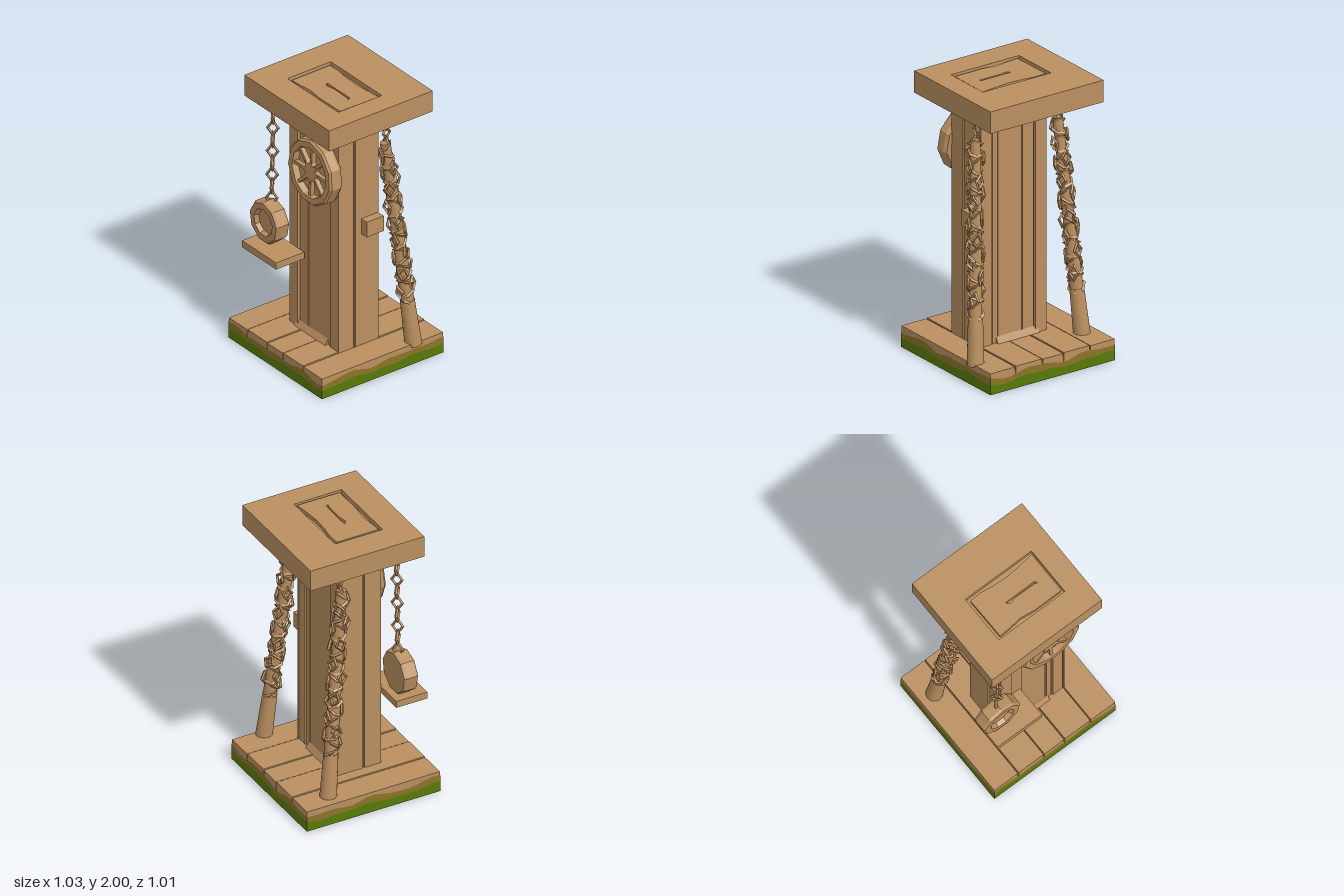
import * as THREE from 'three';

const wood = new THREE.MeshStandardMaterial({ color: 0xba8f60 });
wood.name = 'wood';
const moss = new THREE.MeshStandardMaterial({ color: 0x587a08, side: THREE.DoubleSide });
moss.name = 'moss';
const dryMoss = new THREE.MeshStandardMaterial({ color: 0x8a7428, side: THREE.DoubleSide });
dryMoss.name = 'dryMoss';

function add(parent, name, geometry, material = wood) {
  const mesh = new THREE.Mesh(geometry, material);
  mesh.name = name;
  parent.add(mesh);
  return mesh;
}

// Box given by its limits on each axis
function block(parent, name, x0, x1, y0, y1, z0, z1, material = wood) {
  const mesh = add(parent, name, new THREE.BoxGeometry(x1 - x0, y1 - y0, z1 - z0), material);
  mesh.position.set((x0 + x1) / 2, (y0 + y1) / 2, (z0 + z1) / 2);
  return mesh;
}

function faceted(geometry) {
  const g = geometry.index ? geometry.toNonIndexed() : geometry;
  g.computeVertexNormals();
  return g;
}

function polygon(points, PathType = THREE.Shape) {
  return new PathType(points.map(([x, y]) => new THREE.Vector2(x, y)));
}

function rectangle(x0, x1, y0, y1, PathType) {
  return polygon([[x0, y0], [x1, y0], [x1, y1], [x0, y1]], PathType);
}

// Slab lying flat: the shape is drawn in x and -z
function slab(parent, name, shape, y, height) {
  const mesh = add(parent, name, new THREE.ExtrudeGeometry(shape, { depth: height, bevelEnabled: false }));
  mesh.rotation.x = -Math.PI / 2;
  mesh.position.y = y;
  return mesh;
}

// Faceted round part turned to face the front
function turned(parent, name, profile, sides) {
  const points = profile.map(([r, y]) => new THREE.Vector2(r, y));
  const mesh = add(parent, name, faceted(new THREE.LatheGeometry(points, sides, Math.PI / sides)));
  mesh.rotation.x = Math.PI / 2;
  return mesh;
}

// Wavy strip around the four sides of the base
function skirt(parent, name, material, low, high) {
  const corners = [[-0.522, 0.502], [0.492, 0.502], [0.492, -0.507], [-0.522, -0.507]];
  const n = 18, positions = [], index = [];
  corners.forEach(([ax, az], side) => {
    const [bx, bz] = corners[(side + 1) % 4];
    for (let i = 0; i <= n; i++) {
      const t = i / n, s = (side + t) * 6;
      const x = ax + (bx - ax) * t, z = az + (bz - az) * t;
      positions.push(x, low(s), z, x, high(s), z);
      if (i < n) {
        const k = (side * (n + 1) + i) * 2;
        index.push(k, k + 2, k + 1, k + 1, k + 2, k + 3);
      }
    }
  });
  const g = new THREE.BufferGeometry();
  g.setAttribute('position', new THREE.Float32BufferAttribute(positions, 3));
  g.setIndex(index);
  add(parent, name, faceted(g), material);
}

function chainLink(parent, x, y, z, turn, size = 0.036) {
  const link = add(parent, 'chainLink', faceted(new THREE.TorusGeometry(size, 0.011, 4, 4)));
  link.scale.y = 1.5;
  link.position.set(x, y, z);
  link.rotation.y = turn;
  return link;
}

function buildBase() {
  const base = new THREE.Group();
  base.name = 'base';
  const cuts = [-0.52, -0.32, -0.105, 0.067, 0.285, 0.49];
  const gap = 0.004;
  for (let i = 0; i < 5; i++) {
    const top = 0.152 + (i % 2) * 0.004;
    block(base, 'plank', cuts[i] + (i ? gap : 0), cuts[i + 1] - (i < 4 ? gap : 0), 0.01, top, -0.505, 0.5);
  }
  block(base, 'plankBed', -0.515, 0.485, 0.01, 0.125, -0.5, 0.495);
  block(base, 'underside', -0.521, 0.491, 0, 0.012, -0.506, 0.501, moss);
  const edge = s => 0.066 + 0.008 * Math.sin(s * 1.9) + 0.005 * Math.sin(s * 4.3);
  const upper = s => edge(s) + 0.045 + 0.01 * Math.sin(s * 2.7 + 1);
  skirt(base, 'mossBand', moss, () => 0, edge);
  skirt(base, 'dryMossBand', dryMoss, edge, upper);
  return base;
}

function buildPillar() {
  const pillar = new THREE.Group();
  pillar.name = 'pillar';
  block(pillar, 'core', -0.225, 0.275, 0.14, 1.95, -0.1, 0.185);
  // Boards on the front and back, with narrow grooves between them
  const boards = [[-0.24, -0.153, 0], [-0.143, -0.055, 0.012], [-0.049, 0.143, 0.016],
    [0.149, 0.19, 0.012], [0.197, 0.278, 0.004], [0.284, 0.29, 0]];
  for (const [x0, x1, inset] of boards) {
    block(pillar, 'frontBoard', x0, x1, 0.14, 1.85, 0.15, 0.21 - inset);
    block(pillar, 'backBoard', x0, x1, 0.14, 1.85, -0.122 + inset, -0.07);
  }
  for (const [z0, z1] of [[0.086, 0.2], [-0.112, 0.07]]) {
    block(pillar, 'rightBoard', 0.25, 0.29, 0.14, 1.85, z0, z1);
    block(pillar, 'leftBoard', -0.24, -0.2, 0.14, 1.85, z0, z1);
  }
  // Sloping sills at the foot
  const sill = polygon([[0, 0], [0.025, 0], [0, 0.045]]);
  for (const side of [1, -1]) {
    const mesh = add(pillar, 'footSill', new THREE.ExtrudeGeometry(sill, { depth: 0.34, bevelEnabled: false }));
    mesh.rotation.y = -side * Math.PI / 2;
    mesh.position.set(side > 0 ? 0.16 : -0.18, 0.155, side > 0 ? 0.198 : -0.11);
  }
  block(pillar, 'sideBracket', 0.28, 0.35, 1.0, 1.115, -0.12, 0.02);
  return pillar;
}

function buildCap() {
  const cap = new THREE.Group();
  cap.name = 'cap';
  const plate = rectangle(-0.47, 0.45, -0.41, 0.45);
  plate.holes.push(rectangle(-0.26, 0.293, -0.213, 0.147, THREE.Path));
  slab(cap, 'capPlate', plate, 1.843, 0.157);
  block(cap, 'recessFloor', -0.262, 0.295, 1.845, 1.965, -0.149, 0.215);
  // Worn post end set in the recess, split along the grain
  const end = polygon([[-0.235, -0.195], [-0.15, -0.19], [-0.05, -0.178], [0.06, -0.192], [0.28, -0.19],
    [0.282, 0.13], [0.19, 0.118], [0.06, 0.106], [-0.06, 0.112], [-0.15, 0.125], [-0.238, 0.12]]);
  end.holes.push(polygon([[-0.07, -0.032], [-0.04, -0.056], [0.02, -0.043], [0.17, -0.045], [0.19, -0.052], [0.18, -0.032]], THREE.Path));
  slab(cap, 'postEnd', end, 1.96, 0.032);
  return cap;
}

function buildWheel() {
  const wheel = new THREE.Group();
  wheel.name = 'wheel';
  turned(wheel, 'wheelRim', [[0, 0], [0.225, 0], [0.24, 0.025], [0.238, 0.09], [0.225, 0.105],
    [0.183, 0.105], [0.175, 0.06], [0, 0.06]], 11);
  for (let i = 0; i < 8; i++) {
    const spoke = add(wheel, 'spoke', new THREE.BoxGeometry(0.12, 0.022, 0.035));
    const a = i * Math.PI / 4;
    spoke.position.set(Math.cos(a) * 0.12, Math.sin(a) * 0.12, 0.075);
    spoke.rotation.z = a;
  }
  // Notched hub
  const points = Array.from({ length: 16 }, (_, i) => {
    const a = i * Math.PI / 8, r = i % 2 ? 0.055 : 0.085;
    return [Math.cos(a) * r, Math.sin(a) * r];
  });
  add(wheel, 'hub', new THREE.ExtrudeGeometry(polygon(points), { depth: 0.04, bevelEnabled: false })).position.z = 0.055;
  wheel.position.set(0.105, 1.48, 0.21);
  wheel.rotation.x = -0.05;
  return wheel;
}

function buildHangingWeight() {
  const hanging = new THREE.Group();
  hanging.name = 'hangingWeight';
  const drum = turned(hanging, 'weight', [[0, 0], [0.148, 0], [0.156, 0.02], [0.156, 0.09],
    [0.145, 0.105], [0.1, 0.105], [0.085, 0.075], [0, 0.075]], 9);
  drum.position.set(-0.34, 0.91, 0.25);
  block(hanging, 'tray', -0.45, -0.08, 0.705, 0.755, 0.21, 0.445);
  for (let i = 0; i < 9; i++) {
    chainLink(hanging, -0.32 - i * 0.002, 1.8 - i * 0.09, 0.285, Math.PI / 4 + (i % 2) * Math.PI / 2);
  }
  return hanging;
}

// Leaning pole wrapped in angular lashings, hung from the cap by links
function buildPole(foot, head, seed) {
  const pole = new THREE.Group();
  pole.name = 'lashedPole';
  const random = () => (seed = (seed * 16807) % 2147483647) / 2147483647;
  const a = new THREE.Vector3(...foot), b = new THREE.Vector3(...head);
  const length = a.distanceTo(b);
  const lean = new THREE.Group();
  lean.name = 'lashedShaft';
  lean.position.copy(a);
  lean.quaternion.setFromUnitVectors(new THREE.Vector3(0, 1, 0), b.clone().sub(a).normalize());
  add(lean, 'poleFoot', new THREE.CylinderGeometry(0.05, 0.059, 0.34, 16)).position.y = 0.16;
  add(lean, 'poleShaft', new THREE.CylinderGeometry(0.036, 0.047, length - 0.3, 10)).position.y = (length + 0.3) / 2;
  const wraps = 20;
  for (let i = 0; i < wraps; i++) {
    const t = i / (wraps - 1);
    const wrap = add(lean, 'lashing', faceted(new THREE.TorusGeometry(0.056 - t * 0.01, 0.011, 3, 6)));
    wrap.position.y = 0.34 + t * (length - 0.37);
    wrap.rotation.set(Math.PI / 2 + (i % 2 ? 0.55 : -0.45), (random() - 0.5) * 0.9, random() * 3);
  }
  for (let i = 0; i < 22; i++) {
    const angle = i * 2.4, y = 0.4 + i / 21 * (length - 0.48);
    const link = chainLink(lean, Math.sin(angle) * 0.05, y, Math.cos(angle) * 0.05, angle + random() - 0.5, 0.032);
    link.rotation.z = (random() - 0.5) * 0.8;
  }
  pole.add(lean);
  for (let i = 0; i < 3; i++) chainLink(pole, head[0], 1.67 + i * 0.07, head[2] - 0.01, i * Math.PI / 2, 0.028);
  return pole;
}

export function createModel() {
  const model = new THREE.Group();
  model.name = 'weightDrivenPillar';
  model.add(buildBase(), buildPillar(), buildCap(), buildWheel(), buildHangingWeight(),
    buildPole([0.453, 0.14, -0.285], [0.345, 1.67, -0.135], 7),
    buildPole([-0.412, 0.14, -0.285], [-0.322, 1.67, -0.135], 31));
  return model;
}
